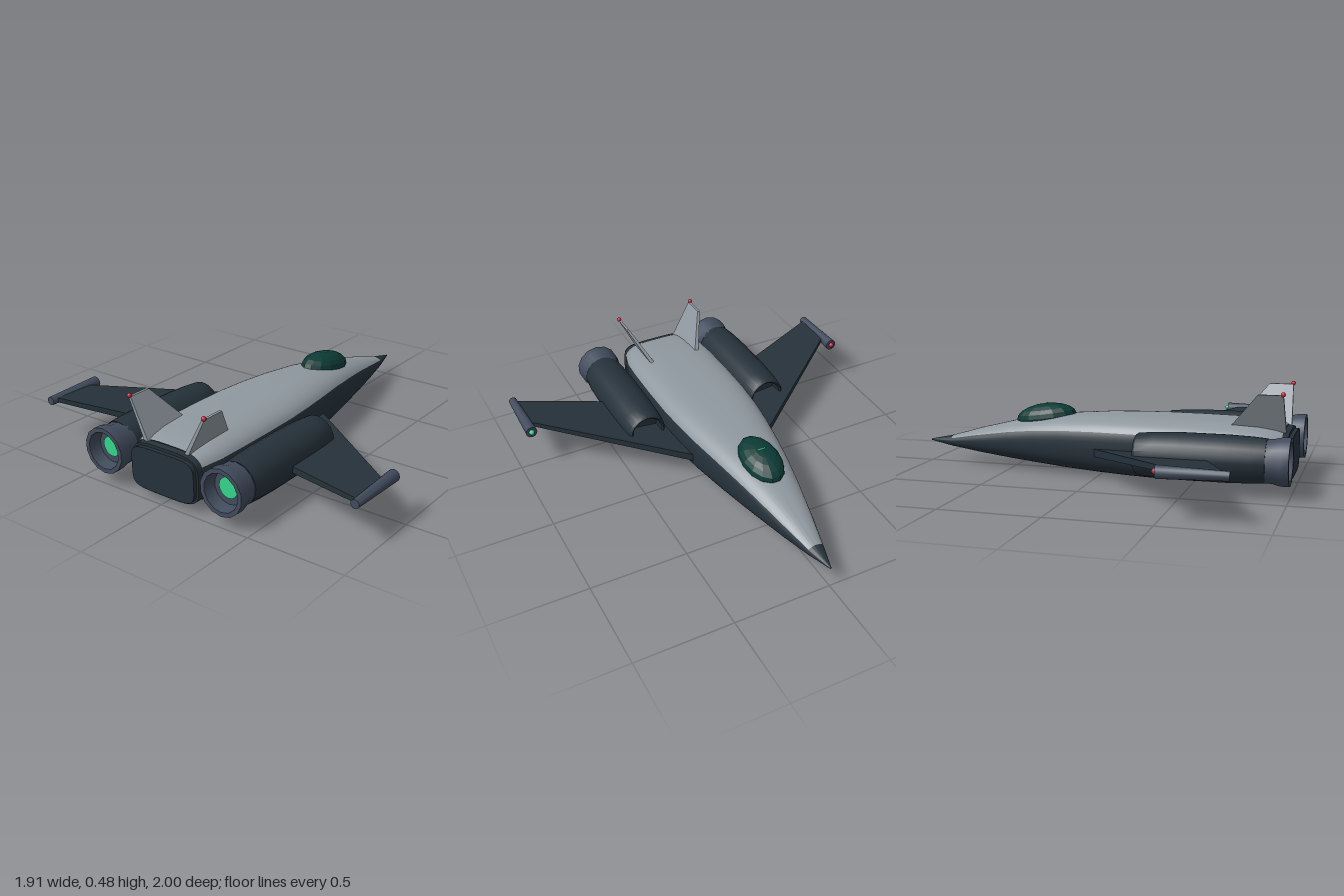
import * as THREE from 'three';
import { toCreasedNormals } from 'three/addons/utils/BufferGeometryUtils.js';

const paint = (name, color, extra = {}) => {
  const m = new THREE.MeshStandardMaterial({ color, ...extra });
  m.name = name;
  return m;
};

// Skin a series of rings; each ring runs counter-clockwise seen from the far end
function loft(rings, { closed = true, caps = true, crease = 0.6 } = {}) {
  const n = rings[0].length, index = [];
  rings.slice(1).forEach((_, i) => {
    for (let j = 0; j < (closed ? n : n - 1); j++) {
      const k = (j + 1) % n, a = i * n + j, b = i * n + k;
      index.push(a, b, b + n, a, b + n, a + n);
    }
  });
  if (caps) {
    const e = (rings.length - 1) * n;
    for (let j = 1; j < n - 1; j++) index.push(0, j + 1, j, e, e + j, e + j + 1);
  }
  const g = new THREE.BufferGeometry();
  g.setAttribute('position', new THREE.Float32BufferAttribute(rings.flat(2), 3));
  g.setIndex(index);
  return toCreasedNormals(g, crease);
}

// Fuselage stations: z, bottom, top, half width, squareness
const stations = [
  [-1, 0.11, 0.118, 0.004, 2], [-0.865, 0.085, 0.146, 0.045, 2], [-0.7, 0.063, 0.194, 0.088, 2.2],
  [-0.5, 0.042, 0.244, 0.133, 2.4], [-0.35, 0.03, 0.272, 0.163, 2.6], [-0.2, 0.019, 0.291, 0.189, 2.8],
  [0, 0.009, 0.304, 0.22, 3], [0.15, 0.004, 0.308, 0.236, 3.2], [0.3, 0.001, 0.309, 0.245, 3.4],
  [0.5, 0, 0.308, 0.247, 3.5], [0.7, 0.004, 0.305, 0.245, 3.5], [0.82, 0.01, 0.299, 0.238, 3.5],
  [0.9, 0.018, 0.288, 0.215, 3.5], [0.935, 0.025, 0.278, 0.202, 3.5],
];

// Rounded-square section between two angles, optionally enlarged
function section([z, y0, y1, hx, n], from, to, steps, grow = 1) {
  const pow = (v) => Math.sign(v) * Math.abs(v) ** (2 / n);
  return Array.from({ length: steps }, (_, i) => {
    const t = from + (to - from) * i / steps;
    return [hx * grow * pow(Math.cos(t)), (y0 + y1) / 2 + (y1 - y0) / 2 * grow * pow(Math.sin(t)), z];
  });
}

const turned = (points, sides) => toCreasedNormals(
  new THREE.LatheGeometry(points.map(([r, z]) => new THREE.Vector2(r, z)), sides).rotateX(Math.PI / 2), 0.6);

export function createModel() {
  const grey = paint('hullGrey', 0x8f989f, { side: THREE.DoubleSide });
  const dark = paint('darkPlating', 0x25313a);
  const steel = paint('nozzleSteel', 0x414b5c);
  const glass = paint('canopyGlass', 0x0c3a36, { flatShading: true });
  const green = paint('glowGreen', 0x36d68c);
  const red = paint('lampRed', 0xc8243c);

  const model = new THREE.Group();
  model.name = 'starfighter';
  const add = (name, geometry, material, x = 0, y = 0, z = 0, parent = model) => {
    const mesh = new THREE.Mesh(geometry, material);
    mesh.name = name;
    mesh.position.set(x, y, z);
    parent.add(mesh);
    return mesh;
  };

  // Dark hull with pointed nose
  const whole = (s) => section(s, 0, Math.PI * 2, 56);
  add('hull', loft(stations.map(whole)), dark);

  // Light upper shell, ending at the nose cone
  add('upperShell', loft(stations.slice(1).map((s) => {
    const seam = Math.asin(0.55 ** (s[4] / 2));
    const span = Math.PI - 2 * seam;
    return section(s, seam, seam + span * 25 / 24, 25, 1.02);
  }), { closed: false, caps: false }), grey);

  // Stepped tail plates
  add('tailRim', loft([whole([0.93, 0.024, 0.276, 0.2, 4]), whole([0.965, 0.024, 0.27, 0.2, 4])]), dark);
  add('tailPlate', loft([whole([0.96, 0.04, 0.255, 0.188, 5]), whole([0.985, 0.04, 0.255, 0.188, 5])]), dark);

  // Canopy, tipped along the falling nose line
  const canopy = add('canopy', new THREE.SphereGeometry(1, 14, 10), glass, 0, 0.273, -0.327);
  canopy.scale.set(0.1, 0.071, 0.165);
  canopy.rotation.x = -0.14;
  add('canopyGlint', new THREE.BoxGeometry(0.04, 0.004, 0.006), green, 0, 0.343, -0.33);

  for (const s of [1, -1]) {
    const side = new THREE.Group();
    side.name = s > 0 ? 'leftSide' : 'rightSide';
    model.add(side);
    const put = (name, g, m, x = 0, y = 0, z = 0) => add(name, g, m, s * x, y, z, side);

    // Swept wing with slight dihedral
    const rib = (x, y, t, front, rear) =>
      [[y - t, front], [y + t, front], [y + t, rear], [y - t, rear]].map(([py, pz]) => [s * x, py, pz]);
    const ribs = [rib(0.15, 0.126, 0.021, -0.055, 0.51), rib(0.915, 0.219, 0.012, 0.572, 0.785)];
    put('wing', loft(s > 0 ? ribs : ribs.reverse(), { crease: 0.3 }), dark);

    // Wingtip pod and navigation lamp
    put('wingtipPod', turned([[0, 0.49], [0.031, 0.49], [0.022, 0.81], [0, 0.81]], 12), steel, 0.922, 0.217);
    put('navigationLamp', new THREE.SphereGeometry(0.015, 10, 8), s > 0 ? green : red, 0.922, 0.219, 0.486);

    // Engine pod with hollow intake
    put('enginePod', turned([[0, 0.33], [0.08, 0.33], [0.083, 0.265], [0.092, 0.258], [0.102, 0.27],
      [0.11, 0.35], [0.115, 0.48], [0.115, 0.7], [0.111, 0.82], [0.105, 0.89], [0, 0.89]], 20), dark, 0.36, 0.175);

    // Flared nozzle and glowing exhaust
    put('nozzle', turned([[0, 0.875], [0.106, 0.875], [0.107, 0.92], [0.117, 0.96], [0.117, 1], [0.095, 1],
      [0.082, 0.94], [0, 0.94]], 14), steel, 0.355, 0.172);
    put('exhaustGlow', new THREE.CircleGeometry(0.052, 16), green, 0.355, 0.175, 0.946);

    // Canted tail fin with lamp
    const slice = (x, y, t, front, rear) =>
      [[front, -t], [rear, -t], [rear, t], [front, t]].map(([pz, dx]) => [s * x + dx, y, pz]);
    put('tailFin', loft([slice(0.122, 0.27, 0.012, 0.66, 0.95), slice(0.22, 0.465, 0.007, 0.82, 0.942)],
      { crease: 0.3 }), grey);
    put('finLamp', new THREE.SphereGeometry(0.012, 10, 8), red, 0.222, 0.469, 0.94);
  }
  return model;
}
